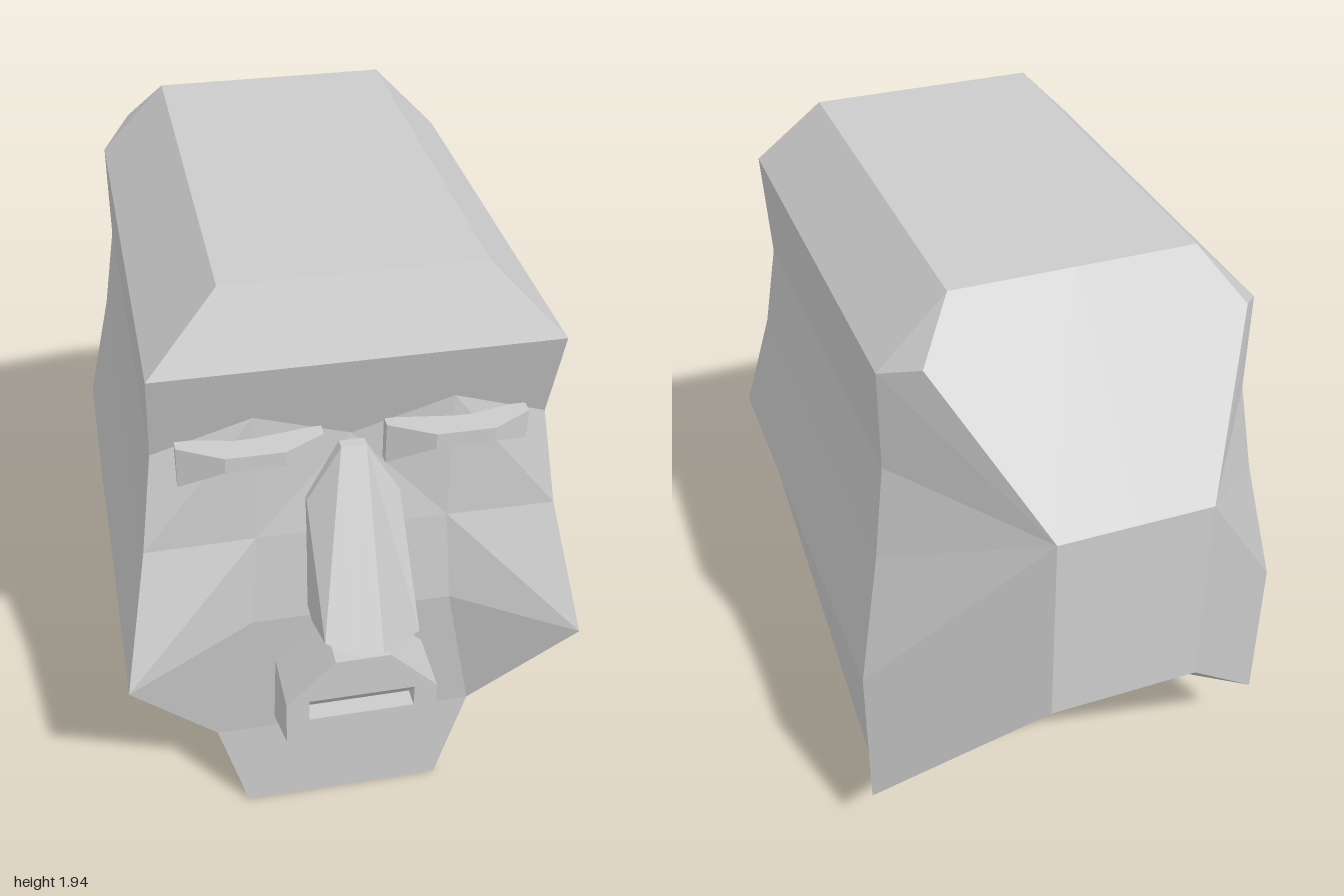
import * as THREE from 'three';

const material = new THREE.MeshStandardMaterial({ color: 0xcccccc, flatShading: true });

// Flat-faced shell: each face is a fan of named points, turned to face away
// from an inner point; optionally mirrored across x = 0.
function facets(name, points, faces, inner, mirrored = true) {
  const pos = [];
  const centre = new THREE.Vector3(...inner);
  const p = (key) => new THREE.Vector3(...points[key]);
  const push = (a, b, c, sx) => {
    for (const v of sx > 0 ? [a, b, c] : [a, c, b]) pos.push(v.x * sx, v.y, v.z);
  };
  for (const face of faces) {
    const keys = face.split(' ');
    for (let i = 1; i < keys.length - 1; i++) {
      const a = p(keys[0]);
      let b = p(keys[i]), c = p(keys[i + 1]);
      const n = b.clone().sub(a).cross(c.clone().sub(a));
      if (n.dot(a.clone().sub(centre)) < 0) [b, c] = [c, b];
      push(a, b, c, 1);
      if (mirrored) push(a, b, c, -1);
    }
  }
  const geo = new THREE.BufferGeometry();
  geo.setAttribute('position', new THREE.Float32BufferAttribute(pos, 3));
  geo.computeVertexNormals();
  const mesh = new THREE.Mesh(geo, material);
  mesh.name = name;
  return mesh;
}

// Head block: one half, mirrored
function head() {
  const points = {
    // crown
    t0: [0, 1.94, 0.69], t1: [0.345, 1.94, 0.69], u0: [0, 1.94, -0.555], u1: [0.345, 1.94, -0.555],
    // forehead edge, brow, eye line, cheek, chin: centre, inner and outer columns
    f0: [0, 1.74, 0.78], f1: [0.54, 1.74, 0.78],
    b0: [0, 1.45, 0.69], b1: [0.27, 1.56, 0.725], b2: [0.54, 1.45, 0.69],
    e0: [0, 1.16, 0.735], e1: [0.27, 1.16, 0.735], e2: [0.58, 1.16, 0.74],
    c0: [0, 0.86, 0.755], c1: [0.29, 0.86, 0.755], c2: [0.66, 0.76, 0.87],
    j0: [0, 0.34, 0.69], j1: [0.4, 0.34, 0.69], n0: [0, 0, 0.69], n1: [0.31, 0, 0.69],
    // jaw side and base
    s1: [0.66, 0.76, 0.39], s2: [0.4, 0.34, 0.3], m0: [0, 0, 0.3], m1: [0.31, 0, 0.3],
    // rear edge of the side, top to bottom
    r0: [0.54, 1.74, -0.555], r1: [0.54, 1.44, -0.555], r2: [0.58, 1.16, -0.585],
    r3: [0.66, 0.76, -0.645], r4: [0.66, 0.45, -0.645], r5: [0.66, 0.25, -0.645],
    // back panel and neck hollow
    q: [0.45, 1.8, -0.67], k0: [0, 1.43, -1], k1: [0.22, 1.43, -1],
    l0: [0, 0.82, -1], l1: [0.22, 0.82, -1],
    h0: [0, 0.4, -0.57], h1: [0.31, 0.39, -0.57],
  };
  const faces = [
    't0 t1 u1 u0', 't0 t1 f1 f0', 't1 f1 r0 u1',                       // top and bevels
    'b1 b0 f0 f1', 'b1 f1 b2', 'b0 b1 e1 e0', 'b1 b2 e2 e1',           // brow and eye sockets
    'e0 e1 c1 c0', 'e1 e2 c2 c1', 'c0 c1 j1 j0', 'c1 c2 j1', 'j0 j1 n1 n0', // cheeks and chin
    'f1 b2 r1 r0', 'b2 e2 r2 r1', 'e2 c2 s1 r3 r2',                    // side
    'c2 s1 s2 j1', 's1 r3 r4 s2', 's2 r4 r5 m1', 'j1 s2 m1 n1',        // jaw side
    'n0 n1 m1 m0', 'm0 m1 h1 h0', 'm1 r5 h1', 'h0 h1 l1 l0', 'h1 r5 l1', // underside
    'u1 r0 q', 'u0 u1 q k1 k0', 'k0 k1 l1 l0',                         // back
    'k1 q r0 r1 r2 r3 l1', 'l1 r3 r4 r5',
  ];
  return facets('head', points, faces, [0.1, 0.9, -0.1]);
}

// Wedge nose with nostril cuts underneath
function nose() {
  const points = {
    a0: [0, 1.43, 0.725], a1: [0.035, 1.43, 0.725], ar: [0.035, 1.43, 0.65], a0r: [0, 1.43, 0.65],
    b: [0.13, 1.27, 0.735], br: [0.13, 1.27, 0.65],
    c: [0.13, 0.99, 1], d0: [0, 0.92, 1], d1: [0.035, 0.92, 1],
    g: [0.13, 0.9, 0.82], gr: [0.13, 0.9, 0.65], g0: [0, 0.9, 0.65],
  };
  return facets('nose', points, [
    'a0 a1 d1 d0', 'a1 b c', 'a1 c d1', 'b c g gr br', 'a1 b br ar', 'a0 a1 ar a0r',
    'c d1 g', 'd0 d1 g gr g0',
  ], [0.05, 1.05, 0.72]);
}

// Mouth block with a slot between the lips
function mouth() {
  const z = 0.915, w = 0.222, s = 0.155, back = 0.66;
  const points = {
    a0: [0, 0.82, z], a1: [0.08, 0.82, z], ar0: [0, 0.82, back], ar1: [0.08, 0.82, back],
    b: [w, 0.67, z], br: [w, 0.67, back],
    u0: [0, 0.675, z], u1: [s, 0.675, z], i0: [0, 0.6, 0.86], i1: [s, 0.6, 0.86],
    l0: [0, 0.6, z], l1: [s, 0.6, z], lw: [w, 0.6, z],
    d0: [0, 0.52, z], d1: [w, 0.52, z],
    e0: [0, 0.395, 0.71], e1: [w, 0.395, 0.71], er: [w, 0.395, back],
  };
  return facets('mouth', points, [
    'a0 a1 b u1 u0', 'u1 b lw l1', 'l0 l1 lw d1 d0', // lip fronts
    'u0 u1 i1 i0', 'i0 i1 l1 l0', 'u1 i1 l1',        // slot
    'a0 a1 ar1 ar0', 'a1 b br ar1', 'b br er e1 d1', 'd0 d1 e1 e0',
  ], [0.18, 0.55, 0.7]);
}

// Drooping eyelid: a bent bar swept across four stations
function eyelid(name, x) {
  const stations = [[0, 1.37, 0.735], [0.12, 1.45, 0.8], [0.28, 1.45, 0.8], [0.39, 1.405, 0.74]];
  const points = {}, faces = [];
  stations.forEach(([dx, low, z], i) => {
    points['t' + i] = [x + dx, 1.495, z];
    points['b' + i] = [x + dx, low, z];
    points['T' + i] = [x + dx, 1.495, 0.64];
    points['B' + i] = [x + dx, low, 0.64];
    if (i === 0) return;
    const h = i - 1;
    faces.push(`t${h} t${i} b${i} b${h}`, `t${h} t${i} T${i} T${h}`, `b${h} b${i} B${i} B${h}`);
  });
  faces.push('t0 b0 B0 T0', 't3 b3 B3 T3');
  return facets(name, points, faces, [x + 0.2, 1.475, 0.68], false);
}

export function createModel() {
  const model = new THREE.Group();
  model.name = 'stoneHead';
  model.add(head(), nose(), mouth(), eyelid('rightEyelid', -0.475), eyelid('leftEyelid', 0.085));
  return model;
}
